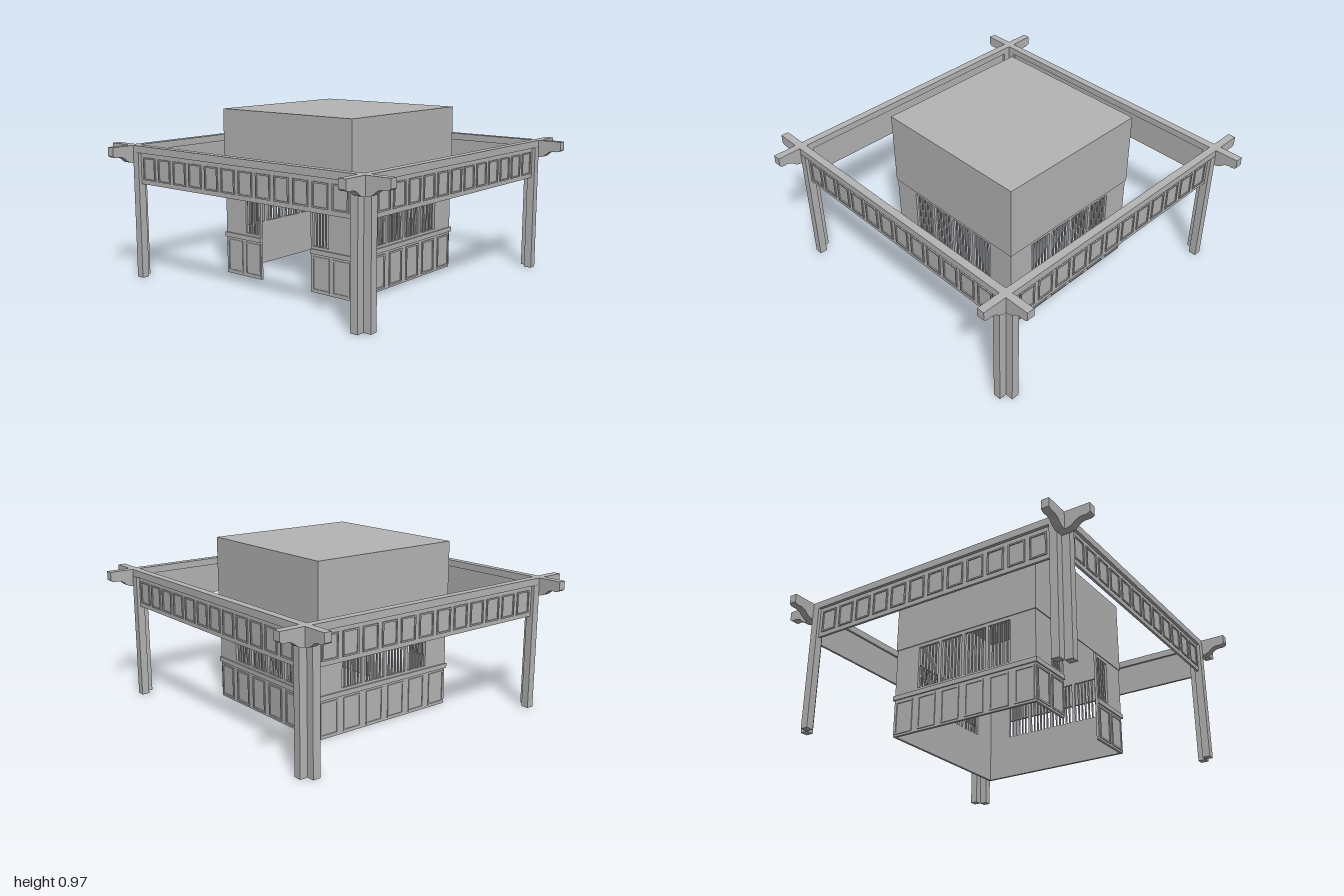
import * as THREE from 'three';

const stone = new THREE.MeshStandardMaterial({ color: 0xb4b4b4 });
stone.name = 'plain grey';

function add(parent, name, geometry, x = 0, y = 0, z = 0) {
  const mesh = new THREE.Mesh(geometry, stone);
  mesh.name = name;
  mesh.position.set(x, y, z);
  parent.add(mesh);
  return mesh;
}

// Box given by its limits on each axis
function block(parent, name, x0, x1, y0, y1, z0, z1) {
  return add(parent, name, new THREE.BoxGeometry(x1 - x0, y1 - y0, z1 - z0),
    (x0 + x1) / 2, (y0 + y1) / 2, (z0 + z1) / 2);
}

function rectPath(x0, x1, y0, y1, Type = THREE.Path) {
  return new Type([[x0, y0], [x1, y0], [x1, y1], [x0, y1]].map(p => new THREE.Vector2(...p)));
}

function extrude(shape, depth) {
  return new THREE.ExtrudeGeometry(shape, { depth, bevelEnabled: false, curveSegments: 6 });
}

// Thin raised rectangular moulding
function moulding(parent, name, x0, x1, y0, y1, z, rim, depth) {
  const shape = rectPath(x0, x1, y0, y1, THREE.Shape);
  shape.holes.push(rectPath(x0 + rim, x1 - rim, y0 + rim, y1 - rim));
  add(parent, name, extrude(shape, depth), 0, 0, z);
}

// One wall of the room, facing +z; the front wall has a doorway
function roomWall(hasDoor) {
  const wall = new THREE.Group();
  wall.name = hasDoor ? 'doorWall' : 'windowWall';
  const h = 0.47, doorL = -0.193, doorR = 0.185, top = 0.55;
  const outline = hasDoor
    ? [[-h, 0], [doorL, 0], [doorL, top], [doorR, top], [doorR, 0], [h, 0], [h, 0.6], [-h, 0.6]]
    : [[-h, 0], [h, 0], [h, 0.6], [-h, 0.6]];
  const shape = new THREE.Shape(outline.map(p => new THREE.Vector2(...p)));

  // Barred windows
  for (let i = 0; i < 4; i++) {
    if (hasDoor && (i === 1 || i === 2)) continue;
    let x0 = -0.31 + i * 0.16, x1 = x0 + 0.14;
    if (hasDoor && i === 0) x1 = doorL - 0.015;
    if (hasDoor && i === 3) x0 = doorR + 0.015;
    shape.holes.push(rectPath(x0, x1, 0.26, 0.51));
    const bars = hasDoor ? 4 : 5;
    for (let b = 1; b <= bars; b++) {
      const x = x0 + (x1 - x0) * b / (bars + 1);
      block(wall, 'windowBar', x - 0.004, x + 0.004, 0.26, 0.51, h - 0.012, h - 0.004);
    }
  }
  add(wall, 'wallPanel', extrude(shape, 0.015), 0, 0, h - 0.015);

  // Upper wall, slightly proud of the lower one
  block(wall, 'upperWall', -0.475, 0.475, 0.55, 0.97, 0.46, 0.475);
  block(wall, 'upperWallEdge', -0.475, 0.475, 0.53, 0.55, h, 0.475);

  // Sill rail, split by the doorway
  const spans = hasDoor ? [[-0.478, doorL], [doorR, 0.478]] : [[-0.478, 0.478]];
  for (const [a, b] of spans) block(wall, 'sillRail', a, b, 0.218, 0.245, h - 0.005, 0.478);

  // Framed panels under the windows
  for (let i = 0; i < 6; i++) {
    if (hasDoor && (i === 2 || i === 3)) continue;
    const x = -0.4 + i * 0.16;
    const cx = hasDoor ? Math.sign(x) * (Math.abs(x) > 0.3 ? 0.4 : 0.258) : x;
    moulding(wall, 'dadoPanel', cx - 0.06, cx + 0.06, 0.012, 0.205, h, 0.01, 0.005);
  }
  return wall;
}

// Outer side, facing +z: beam with scrolled ends, frieze and two posts
function frameSide() {
  const side = new THREE.Group();
  side.name = 'frameSide';
  const shape = new THREE.Shape();
  shape.moveTo(-1, 0.77);
  shape.lineTo(-1, 0.72);
  shape.quadraticCurveTo(-0.985, 0.705, -0.96, 0.71);
  shape.quadraticCurveTo(-0.93, 0.71, -0.91, 0.69);
  shape.quadraticCurveTo(-0.89, 0.67, -0.86, 0.67);
  shape.lineTo(-0.77, 0.67);
  shape.lineTo(-0.77, 0.73);
  shape.lineTo(0.77, 0.73);
  shape.lineTo(0.77, 0.67);
  shape.lineTo(0.86, 0.67);
  shape.quadraticCurveTo(0.89, 0.67, 0.91, 0.69);
  shape.quadraticCurveTo(0.93, 0.71, 0.96, 0.71);
  shape.quadraticCurveTo(0.985, 0.705, 1, 0.72);
  shape.lineTo(1, 0.77);
  add(side, 'scrolledBeam', extrude(shape, 0.045), 0, 0, 0.813);

  block(side, 'friezeBoard', -0.77, 0.77, 0.55, 0.73, 0.827, 0.841);
  const count = 12, pitch = 1.52 / count;
  for (let i = 0; i < count; i++) {
    const x = -0.76 + (i + 0.5) * pitch;
    moulding(side, 'friezePanel', x - 0.05, x + 0.05, 0.575, 0.705, 0.841, 0.008, 0.006);
  }
  for (const s of [-1, 1]) {
    block(side, 'post', s * 0.7925 - 0.0225, s * 0.7925 + 0.0225, 0, 0.73, 0.815, 0.86);
  }
  return side;
}

export function createModel() {
  const model = new THREE.Group();
  model.name = 'pavilion';

  // Central room
  const room = new THREE.Group();
  room.name = 'room';
  room.position.set(-0.015, 0, -0.015);
  for (let k = 0; k < 4; k++) {
    const wall = roomWall(k === 0);
    wall.rotation.y = k * Math.PI / 2;
    room.add(wall);
  }
  block(room, 'flatRoof', -0.475, 0.475, 0.955, 0.97, -0.475, 0.475);
  model.add(room);

  // Surrounding post and beam frame
  const frame = new THREE.Group();
  frame.name = 'frame';
  for (let k = 0; k < 4; k++) {
    const side = frameSide();
    side.rotation.y = k * Math.PI / 2;
    frame.add(side);
  }
  model.add(frame);
  return model;
}
